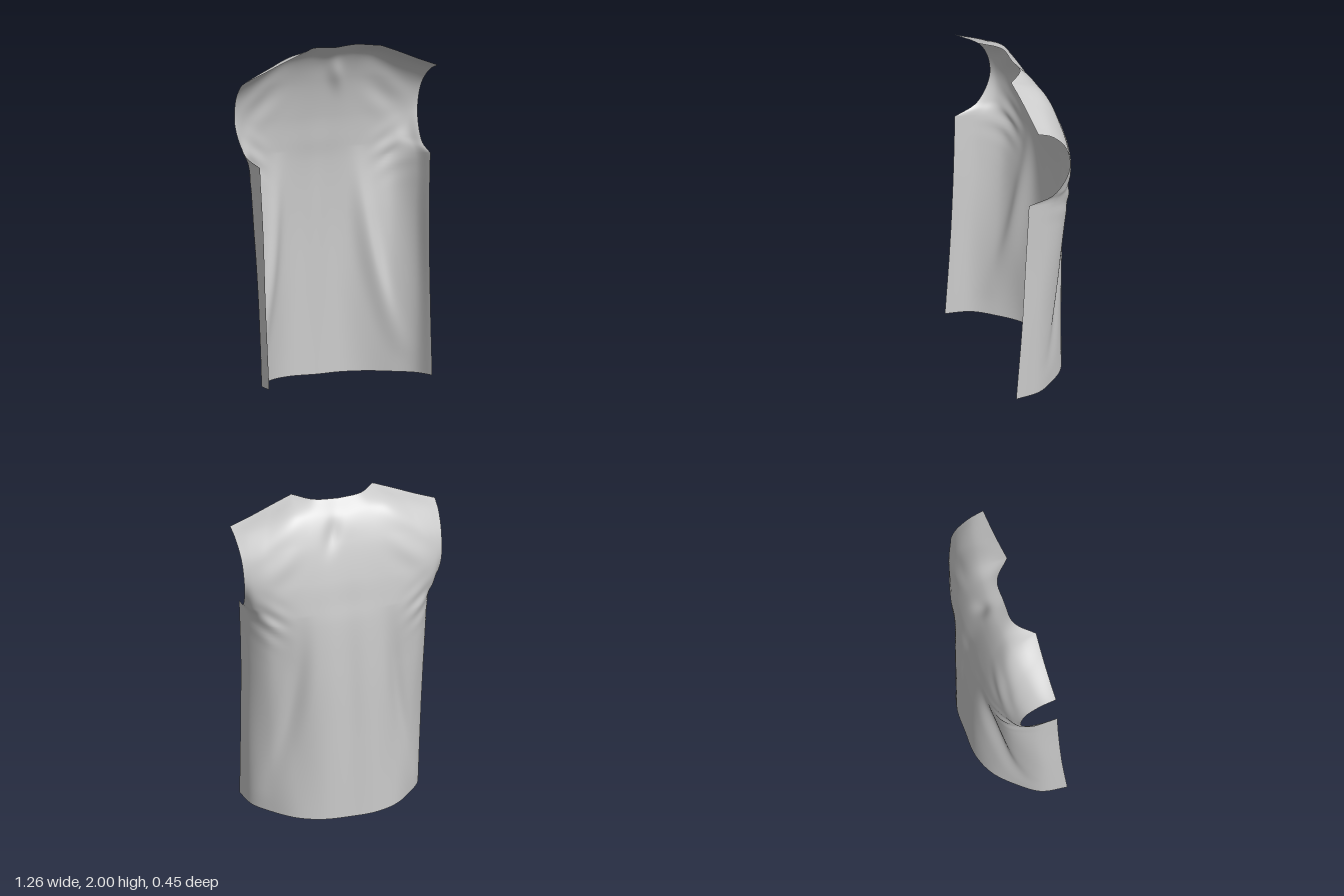
import * as THREE from 'three';

// Half sections from the centre back to the open side edge, hem upwards.
const flat = (y, xz) => xz.map(([x, z]) => [x, y, z]);
const lower = [
  [[0, 0, -0.22], [0.16, 0.003, -0.215], [0.3, 0.006, -0.16], [0.42, 0.01, -0.05], [0.51, 0.015, 0.07], [0.54, 0.02, 0.225]],
  flat(0.5, [[0, -0.22], [0.17, -0.217], [0.32, -0.14], [0.44, -0.055], [0.525, 0.06], [0.545, 0.19]]),
  flat(0.95, [[0, -0.217], [0.18, -0.217], [0.33, -0.158], [0.46, -0.095], [0.535, 0.02], [0.55, 0.168]]),
];
// Rows ending along the armhole, then the neck and shoulder line.
const upper = [
  [[0, 1.28, -0.205], [0.18, 1.28, -0.207], [0.36, 1.28, -0.178], [0.48, 1.29, -0.125], [0.55, 1.31, -0.01], [0.565, 1.335, 0.152]],
  [[0, 1.4, -0.19], [0.18, 1.4, -0.195], [0.36, 1.4, -0.178], [0.48, 1.4, -0.14], [0.55, 1.395, -0.09], [0.585, 1.39, 0]],
  [[0, 1.55, -0.17], [0.19, 1.55, -0.175], [0.36, 1.55, -0.165], [0.48, 1.55, -0.145], [0.56, 1.55, -0.115], [0.605, 1.55, -0.088]],
  [[0, 1.77, -0.115], [0.2, 1.77, -0.122], [0.36, 1.76, -0.12], [0.48, 1.74, -0.1], [0.56, 1.72, -0.08], [0.615, 1.71, -0.06]],
  [[0, 1.9, -0.06], [0.18, 1.92, -0.05], [0.29, 1.93, -0.035], [0.44, 1.88, -0.01], [0.55, 1.84, 0.01], [0.625, 1.81, 0.03]],
  [[0, 1.99, 0.025], [0.14, 2, 0.033], [0.25, 2, 0.135], [0.38, 1.95, 0.127], [0.5, 1.9, 0.123], [0.63, 1.85, 0.122]],
];
const rows = [...lower, ...upper];
const armpit = lower.length; // row where the side edge turns into the armhole
const neckCorner = 2;        // column where the neckline meets the shoulder

const curve = (points) => new THREE.CatmullRomCurve3(points, false, 'centripetal');
const bump = (d, width) => Math.exp(-((d / width) ** 2));

// Smooth curve through the points with a sharp corner at one of them
function cornered(points, corner) {
  const last = points.length - 1;
  const first = curve(points.slice(0, corner + 1)), second = curve(points.slice(corner));
  return {
    getPoint(t) {
      const s = t * last;
      return s <= corner ? first.getPoint(s / corner) : second.getPoint((s - corner) / (last - corner));
    },
  };
}

// Soft drape folds, as an offset in z
function folds(x, y) {
  const a = Math.abs(x);
  const t = THREE.MathUtils.clamp((1.35 - y) / 1.25, 0, 1);
  const long = 0.028 * bump(a - (0.27 + 0.2 * t * t), 0.05) * Math.sin(Math.PI * t);
  const centre = 0.004 * Math.cos(x * 32) * bump(a, 0.22) * bump(y - 0.9, 0.5);
  const underarm = 0.006 * Math.sin((y - 0.7 * a) * 50) * bump(a - 0.47, 0.09) * bump(y - 1.3, 0.12);
  const nape = 0.02 * bump(x - 0.07 + 0.3 * (y - 1.8), 0.045) * bump(y - 1.82, 0.09);
  const blade = 0.005 * Math.sin((y + 0.8 * a) * 28) * bump(a - 0.42, 0.12) * bump(y - 1.7, 0.15);
  return long + centre + underarm + nape + blade;
}

export function createModel() {
  const group = new THREE.Group();
  group.name = 'garmentBack';

  // One cloth sheet, bent through the rows
  const nu = 120, nv = 112;
  const geometry = new THREE.PlaneGeometry(1, 1, nu, nv);
  const position = geometry.attributes.position;
  const columns = rows[0].map((_, c) => {
    const points = rows.map((row) => new THREE.Vector3(...row[c]));
    return c === rows[0].length - 1 ? cornered(points, armpit) : curve(points);
  });

  for (let j = 0; j <= nv; j++) {
    const half = columns.map((column) => column.getPoint(1 - j / nv));
    const mirrored = half.slice(1).reverse().map((p) => new THREE.Vector3(-p.x, p.y, p.z));
    const section = curve([...mirrored, ...half]);
    // The neck corner sharpens only towards the top edge
    const sharp = cornered(half, neckCorner);
    const sharpness = Math.max(0, 1 - j / 8);
    for (let i = 0; i <= nu; i++) {
      const u = 1 - (2 * i) / nu;
      const p = section.getPoint((u + 1) / 2);
      const q = sharp.getPoint(Math.abs(u));
      p.lerp(q.setX(q.x * Math.sign(u)), sharpness);
      position.setXYZ(j * (nu + 1) + i, p.x, Math.min(p.y, 2), p.z + folds(p.x, p.y));
    }
  }
  geometry.computeVertexNormals();

  const material = new THREE.MeshStandardMaterial({ color: 0xcccccc, side: THREE.DoubleSide });
  const panel = new THREE.Mesh(geometry, material);
  panel.name = 'backPanel';
  group.add(panel);
  return group;
}
